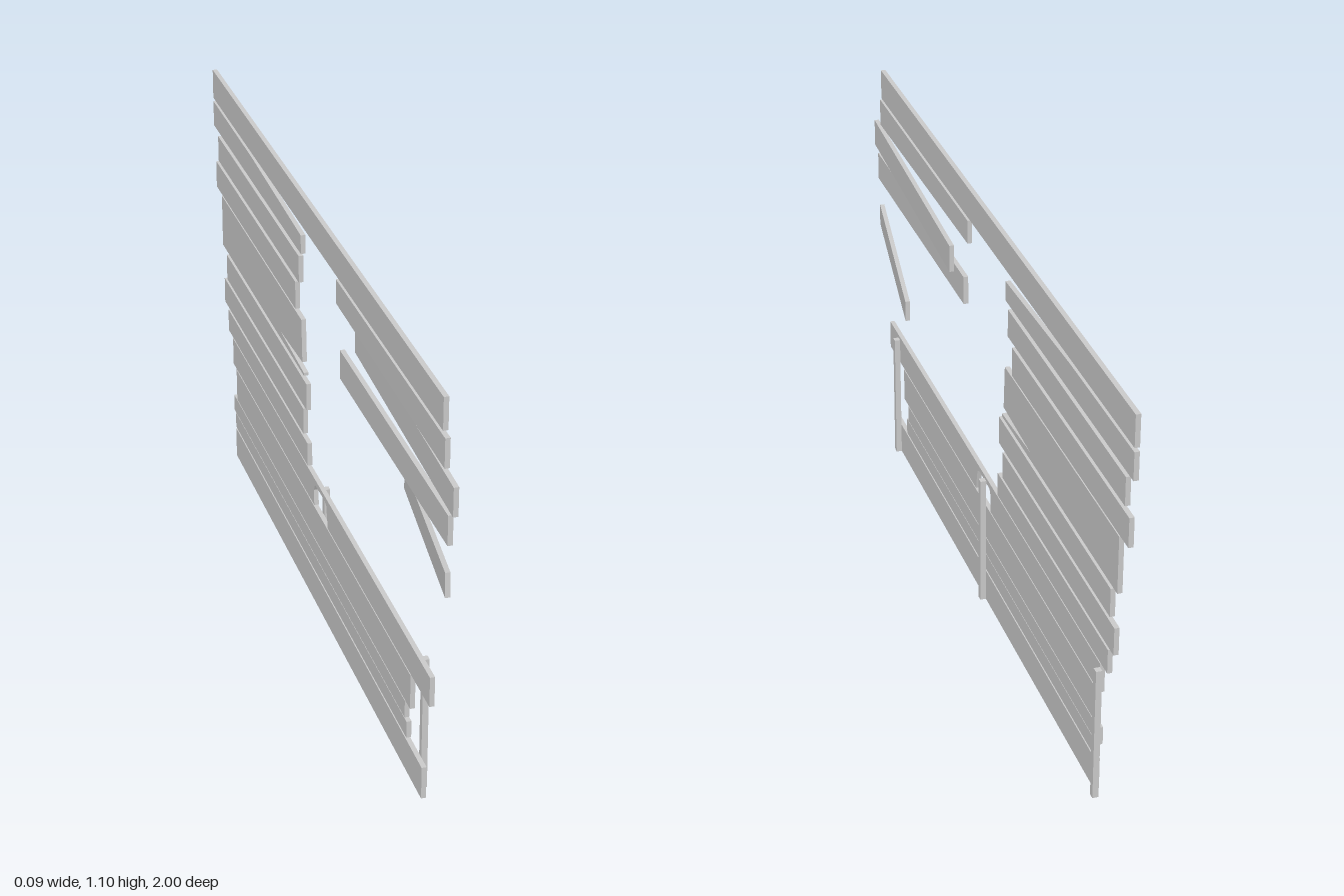
import * as THREE from 'three';

const BACK = -0.045, THICK = 0.012;
const material = new THREE.MeshStandardMaterial({ color: 0xcccccc, flatShading: true });

// Board cut from an outline of [z, y] points; swing pushes its rear (low z) end out along +x
function board(name, points, swing = 0) {
  const shape = new THREE.Shape(points.map(([z, y]) => new THREE.Vector2(-z, y)));
  const geo = new THREE.ExtrudeGeometry(shape, { depth: THICK, bevelEnabled: false });
  geo.rotateY(Math.PI / 2);
  geo.translate(BACK, 0, 0);
  if (swing) {
    const zs = points.map((p) => p[0]);
    const zMax = Math.max(...zs), zMin = Math.min(...zs);
    const pos = geo.attributes.position;
    for (let i = 0; i < pos.count; i++) {
      pos.setX(i, pos.getX(i) + swing * (zMax - pos.getZ(i)) / (zMax - zMin));
    }
    geo.computeVertexNormals();
  }
  const mesh = new THREE.Mesh(geo, material);
  mesh.name = name;
  return mesh;
}

const rect = (zFront, zRear, y0, y1) => [[zFront, y0], [zRear, y0], [zRear, y1], [zFront, y1]];

export function createModel() {
  const group = new THREE.Group();
  group.name = 'brokenPlankWall';

  // Straight planks: front z, rear z, bottom, top
  const planks = {
    topPlank: [0.925, -1, 1.02, 1.1],
    frontPlankLower: [0.97, 0.185, 0.765, 0.84],
    rearPlankUpper: [-0.165, -0.957, 0.853, 0.925],
    rearPlankMiddle: [-0.198, -0.985, 0.765, 0.84],
    rearPlankLow1: [-0.103, -0.89, 0.526, 0.6],
    rearPlankLow2: [-0.133, -0.92, 0.443, 0.515],
    rearPlankLow3: [-0.095, -0.885, 0.37, 0.434],
    basePlank4: [0.743, -0.803, 0.19, 0.283],
    basePlank3: [0.705, -0.84, 0.14, 0.187],
    basePlank2: [0.72, -0.825, 0.093, 0.138],
    basePlank1: [0.833, -0.825, 0, 0.087],
  };
  for (const [name, size] of Object.entries(planks)) group.add(board(name, rect(...size)));

  // Worn and split planks
  group.add(board('frontPlankUpper', [[0.94, 0.937], [0.152, 0.948], [0.152, 1.01], [0.94, 1.01]]));
  group.add(board('rearPlankWorn', [[-0.145, 0.94], [-1, 0.94], [-1, 1.01], [-0.6, 1.008], [-0.145, 0.99]]));
  group.add(board('rearPlankSplit', [[-0.125, 0.613], [-0.93, 0.613], [-0.93, 0.76], [-0.145, 0.76],
    [-0.138, 0.645], [-0.34, 0.633], [-0.125, 0.621]]));
  group.add(board('basePlankNotched', [[0.877, 0.287], [0.082, 0.287], [0.07, 0.345], [0.055, 0.353],
    [-0.03, 0.35], [-0.04, 0.33], [-0.037, 0.287], [-0.84, 0.287], [-0.84, 0.366], [0.877, 0.366]]));

  // Loose planks swinging out of the wall
  group.add(board('loosePlank', [[1, 0.853], [0.214, 0.845], [0.214, 0.917], [1, 0.925]], 0.028));
  group.add(board('hangingPlank', [[0.963, 0.63], [0.447, 0.597], [0.447, 0.653], [0.957, 0.69]], 0.077));

  // Support posts
  for (const z of [0.787, 0.005, -0.847]) {
    const post = new THREE.Mesh(new THREE.BoxGeometry(0.015, 0.357, 0.016), material);
    post.position.set(-0.0255, 0.1785, z);
    post.name = 'post';
    group.add(post);
  }
  return group;
}
